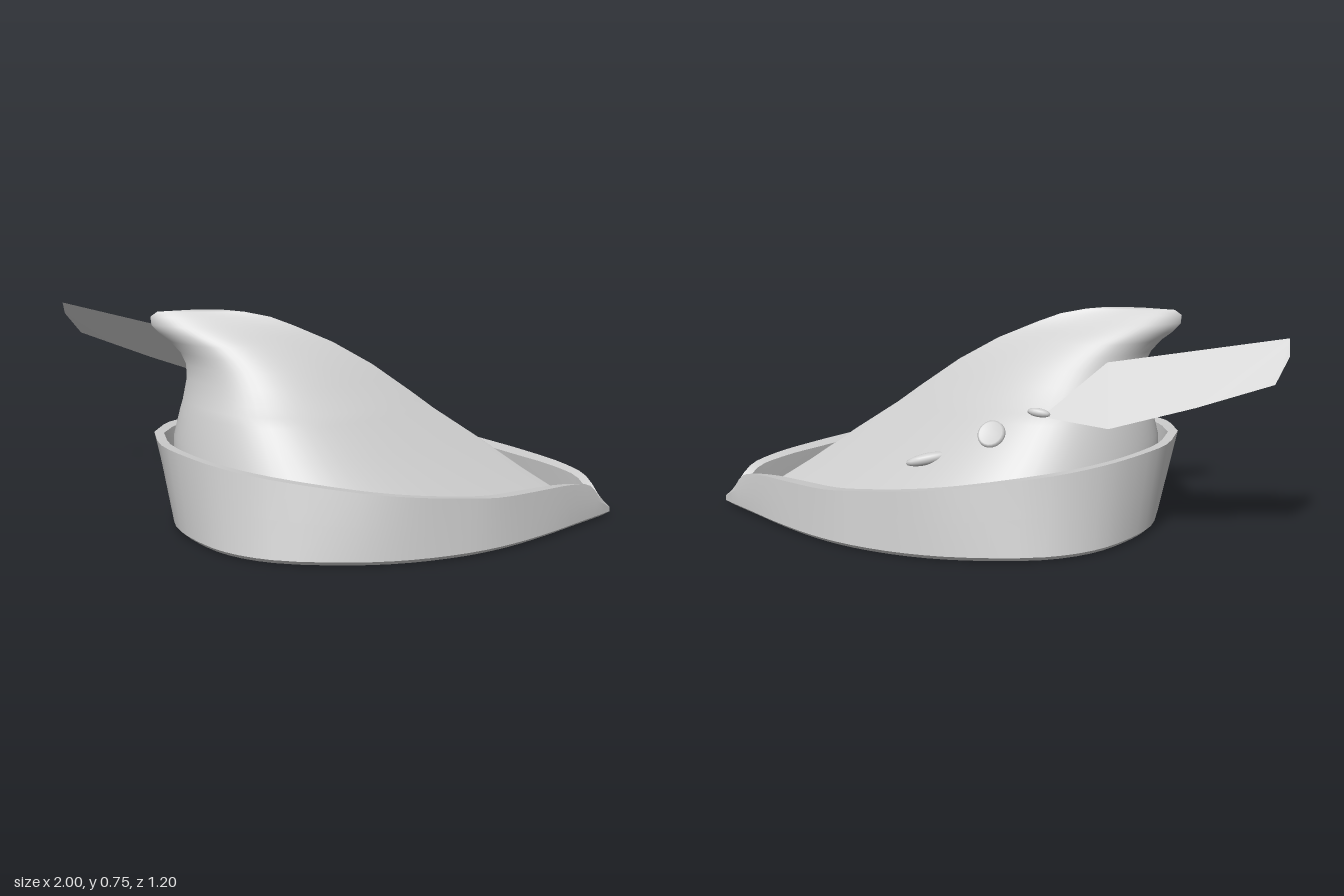
import * as THREE from 'three';
import { toCreasedNormals, mergeGeometries, mergeVertices } from 'three/addons/utils/BufferGeometryUtils.js';

const material = new THREE.MeshStandardMaterial({ color: 0xcccccc, side: THREE.DoubleSide });
const V = (x, y, z) => new THREE.Vector3(x, y, z);
const STEPS = 36;

// Skin a list of rails (arrays of points); side = 1 or -1 mirrors across z = 0
function loft(rails, side) {
  const pos = [], index = [], n = rails[0].length;
  rails.forEach(r => r.forEach(p => pos.push(p.x, p.y, p.z * side)));
  for (let i = 0; i < rails.length - 1; i++)
    for (let j = 0; j < n - 1; j++) {
      const a = i * n + j, b = a + 1, c = a + n, d = c + 1;
      if (side > 0) index.push(a, b, c, b, d, c);
      else index.push(a, c, b, b, c, d);
    }
  const g = new THREE.BufferGeometry();
  g.setAttribute('position', new THREE.Float32BufferAttribute(pos, 3));
  g.setIndex(index);
  return g;
}

// Both mirrored halves, welded along the middle
function bothSides(rails) {
  const g = mergeVertices(mergeGeometries([loft(rails, 1), loft(rails, -1)]));
  g.computeVertexNormals();
  return g;
}

function add(group, name, geometry) {
  const mesh = new THREE.Mesh(geometry, material);
  mesh.name = name;
  group.add(mesh);
  return mesh;
}

// Half of a crown level, from the back crease to the front crease
function crownRail([y, back, front, width]) {
  const h = Math.min(y / 0.3, 1);
  return Array.from({ length: STEPS + 1 }, (_, i) => {
    const t = (1 - Math.cos(Math.PI * i / STEPS)) / 2;
    const p = THREE.MathUtils.lerp(0.62 + 0.3 * h + Math.max(0, y - 0.3) * 0.8, 0.88 + 0.12 * h, Math.min(1, t * 1.4));
    const s = Math.max(0, Math.sin(Math.PI * Math.pow(t, 0.76)));
    return V(back + (front - back) * t, y, i % STEPS ? width * Math.pow(s, p) : 0);
  });
}

const smoothRail = pts => new THREE.CatmullRomCurve3(pts, false, 'centripetal').getPoints(STEPS);

export function createModel() {
  const hat = new THREE.Group();
  hat.name = 'featheredHat';

  // Crown: levels of y, back x, front x, half width
  const levels = [
    [0.01, -0.55, 0.95, 0.562], [0.05, -0.556, 0.88, 0.54], [0.18, -0.57, 0.68, 0.455],
    [0.3, -0.57, 0.51, 0.378], [0.4, -0.545, 0.36, 0.313], [0.43, -0.536, 0.32, 0.284],
    [0.46, -0.53, 0.28, 0.25], [0.51, -0.52, 0.21, 0.21], [0.56, -0.522, 0.14, 0.172],
    [0.6, -0.54, 0.07, 0.142], [0.64, -0.575, 0, 0.112], [0.67, -0.615, -0.07, 0.088],
    [0.7, -0.642, -0.14, 0.058], [0.73, -0.645, -0.22, 0.027], [0.748, -0.62, -0.31, 0.008],
    [0.755, -0.5, -0.38, 0]
  ];
  add(hat, 'crown', bothSides(levels.map(crownRail)));

  // Turned-up brim: outer rim, inner rim and bottom edge, back to front
  const outer = [
    [-0.64, 0.31, 0], [-0.6, 0.305, 0.17], [-0.5, 0.297, 0.3], [-0.38, 0.288, 0.41], [-0.22, 0.275, 0.5],
    [0.1, 0.243, 0.56], [0.27, 0.225, 0.545], [0.45, 0.2, 0.47], [0.57, 0.183, 0.4], [0.72, 0.17, 0.27],
    [0.85, 0.155, 0.14], [0.92, 0.13, 0.065], [0.975, 0.05, 0]
  ];
  const inner = [
    [-0.605, 0], [-0.57, 0.14], [-0.48, 0.265], [-0.36, 0.375], [-0.2, 0.46], [0.09, 0.51], [0.25, 0.5],
    [0.41, 0.43], [0.53, 0.36], [0.67, 0.24], [0.81, 0.12], [0.89, 0.05], [0.945, 0]
  ];
  const bottom = [
    [-0.575, 0], [-0.55, 0.2], [-0.47, 0.36], [-0.36, 0.49], [-0.2, 0.575], [0.07, 0.6], [0.27, 0.57],
    [0.47, 0.49], [0.62, 0.39], [0.77, 0.25], [0.88, 0.13], [0.95, 0.055], [1, 0]
  ];
  const outerRail = smoothRail(outer.map(p => V(...p)));
  const innerRail = smoothRail(inner.map(([x, z], i) => V(x, outer[i][1] - 0.004, z)));
  const edgeRail = smoothRail(bottom.map(([x, z]) => V(x, 0.016, z)));
  const underRail = smoothRail(bottom.map(([x, z]) => V(x * 0.97, 0, z * 0.97)));
  // The wall swells a little toward the front tip
  const midRail = outerRail.map((p, i) =>
    p.clone().lerp(edgeRail[i], 0.5).add(V(0.012 * Math.max(0, i / STEPS - 0.7) / 0.3, 0, 0)));
  const base = crownRail(levels[0]);
  const brim = bothSides([base, innerRail, outerRail, midRail, edgeRail, underRail, base]);
  add(hat, 'brim', toCreasedNormals(brim, 0.5));

  // Flat feather blade, fanned from the quill point
  const blade = [
    [-0.17, 0.423, -0.28], [-0.39, 0.6, -0.2], [-1, 0.72, -0.32], [-1, 0.67, -0.37],
    [-0.95, 0.585, -0.43], [-0.69, 0.496, -0.41], [-0.4, 0.41, -0.38]
  ];
  const feather = new THREE.BufferGeometry();
  feather.setAttribute('position', new THREE.Float32BufferAttribute(blade.flat(), 3));
  feather.setIndex([0, 1, 6, 1, 5, 6, 1, 2, 5, 2, 4, 5, 2, 3, 4]);
  feather.computeVertexNormals();
  add(hat, 'featherBlade', feather);

  // Rounded spindles: quill base and the quill end poking out in front
  function spindle(name, from, to, radius) {
    const mesh = add(hat, name, new THREE.SphereGeometry(1, 14, 10));
    mesh.position.copy(from).lerp(to, 0.5);
    mesh.scale.set(radius, radius, from.distanceTo(to) / 2);
    mesh.lookAt(to);
  }
  spindle('quillBase', V(-0.2, 0.432, -0.285), V(-0.12, 0.442, -0.272), 0.016);
  spindle('quillEnd', V(0.15, 0.28, -0.268), V(0.3, 0.25, -0.29), 0.021);

  // Button holding the quill, with a raised rim
  const profile = [[0, 0.008], [0.036, 0.008], [0.042, 0.014], [0.049, 0.01], [0.05, -0.002], [0.046, -0.014]];
  const button = add(hat, 'button', new THREE.LatheGeometry(profile.map(p => new THREE.Vector2(...p)), 20));
  button.position.set(0.0, 0.362, -0.3);
  button.quaternion.setFromUnitVectors(V(0, 1, 0), V(0.28, 0.6, -0.75).normalize());

  return hat;
}
